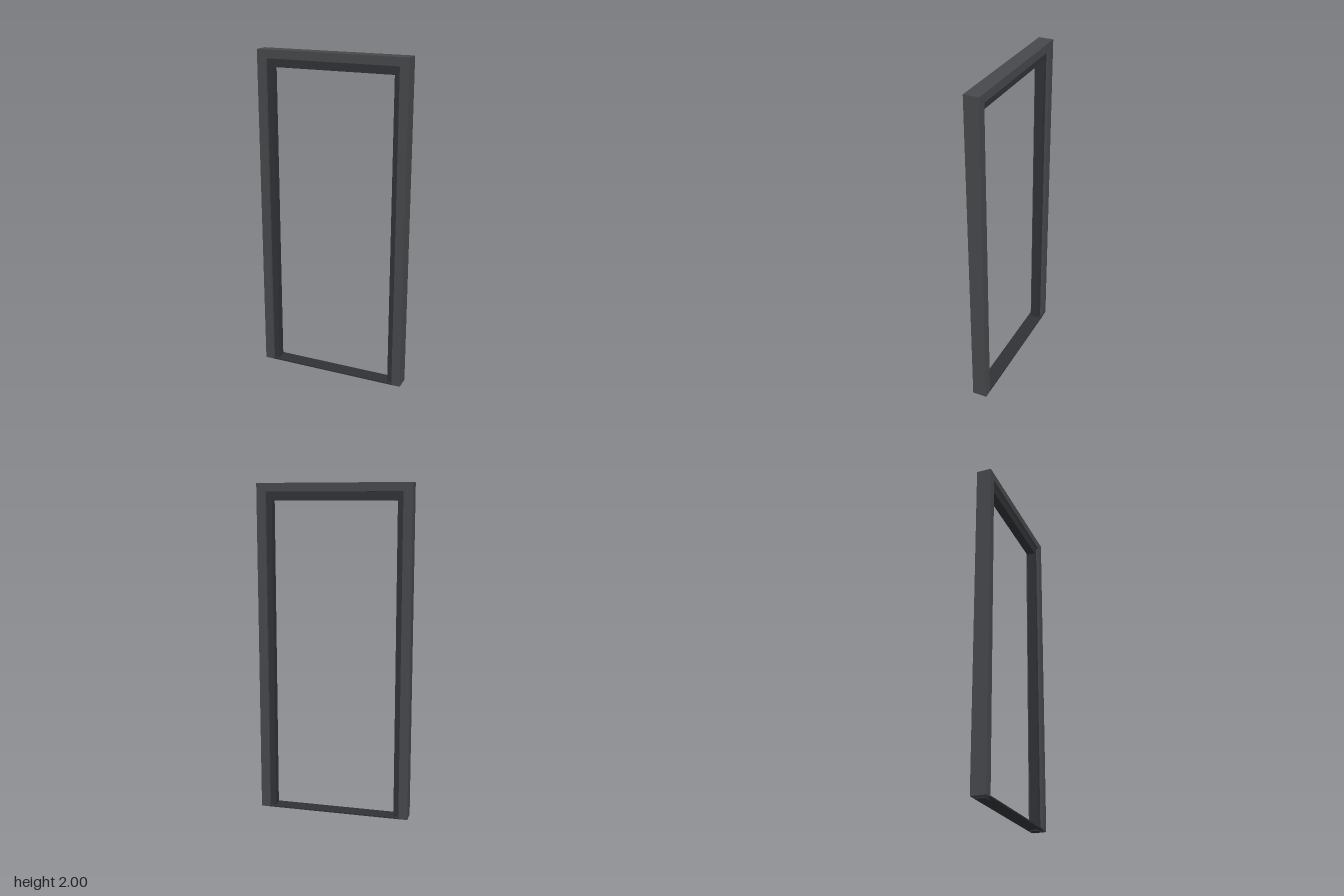
import * as THREE from 'three';

const casingMaterial = new THREE.MeshStandardMaterial({ color: 0x46484b });
const stopMaterial = new THREE.MeshStandardMaterial({ color: 0x303236 });

// Upside-down U: two uprights joined by a head, extruded to a depth centred on z = 0
function portal(name, outerX, innerX, bottom, outerTop, innerTop, depth, material) {
  const shape = new THREE.Shape([
    [-outerX, bottom], [-innerX, bottom], [-innerX, innerTop], [innerX, innerTop],
    [innerX, bottom], [outerX, bottom], [outerX, outerTop], [-outerX, outerTop],
  ].map(([x, y]) => new THREE.Vector2(x, y)));
  const geometry = new THREE.ExtrudeGeometry(shape, { depth, bevelEnabled: false });
  geometry.translate(0, 0, -depth / 2);
  const mesh = new THREE.Mesh(geometry, material);
  mesh.name = name;
  return mesh;
}

export function createModel() {
  const model = new THREE.Group();
  model.name = 'doorFrame';

  // Outer jambs and head
  model.add(portal('outerFrame', 0.463, 0.409, 0.008, 2, 1.95, 0.09, casingMaterial));

  // Narrower door stop, let into the jambs and reaching the floor
  model.add(portal('doorStop', 0.43, 0.375, 0, 1.97, 1.9, 0.054, stopMaterial));

  // Thin threshold between the jambs
  const threshold = new THREE.Mesh(new THREE.BoxGeometry(0.82, 0.008, 0.091), stopMaterial);
  threshold.name = 'threshold';
  threshold.position.y = 0.012;
  model.add(threshold);

  return model;
}
